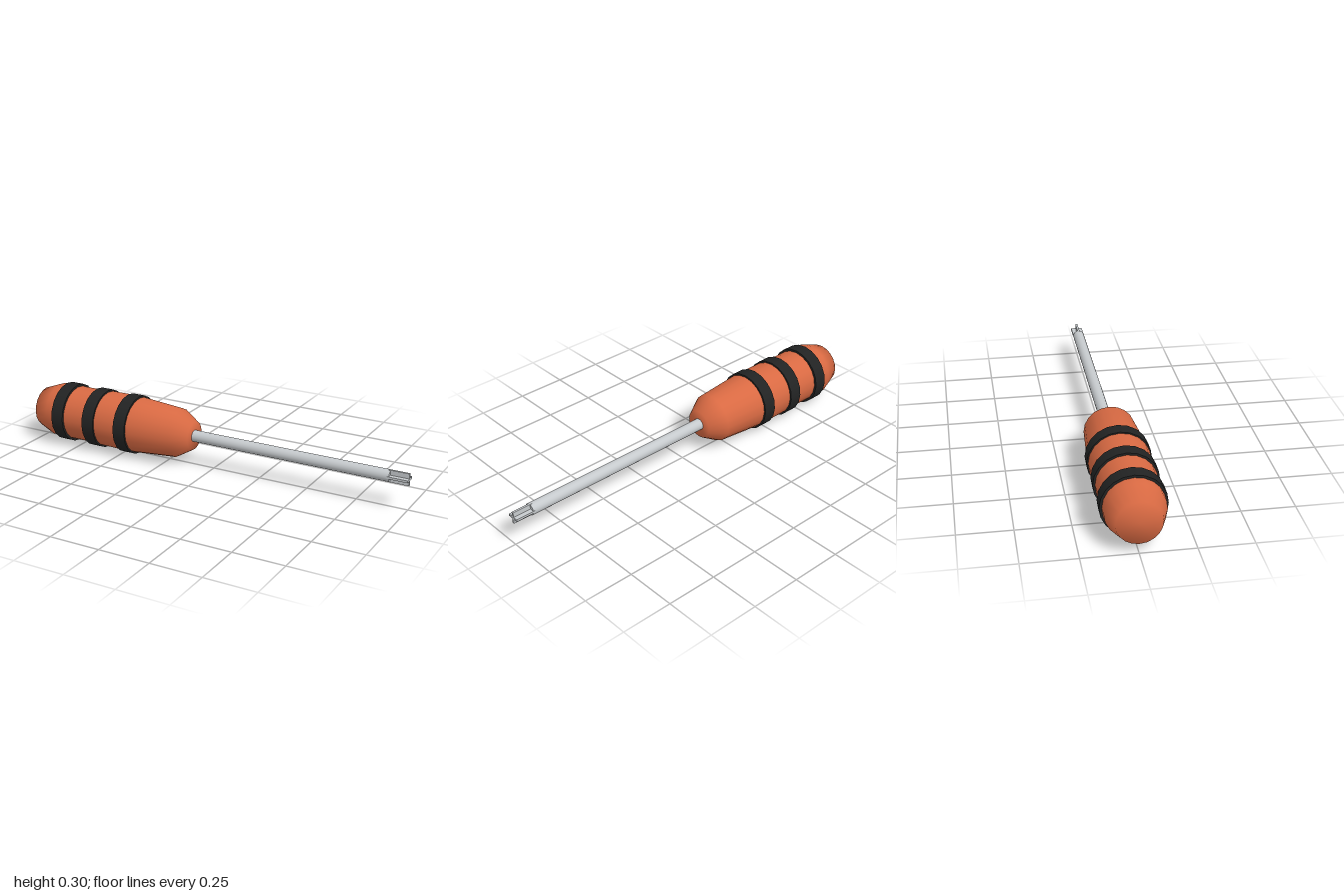
import * as THREE from 'three';

const AXIS_Y = 0.149; // height of the tool's long axis
const SIDES = 20;

export function createModel() {
  const model = new THREE.Group();
  model.name = 'screwdriver';

  const material = (name, color) => {
    const m = new THREE.MeshStandardMaterial({ color });
    m.name = name;
    return m;
  };
  const orange = material('handle orange', 0xd96a43);
  const black = material('grip black', 0x222323);
  const steel = material('steel grey', 0xc6cacd);

  const add = (name, geometry, mat, x = 0) => {
    const mesh = new THREE.Mesh(geometry, mat);
    mesh.name = name;
    mesh.position.set(x, AXIS_Y, 0);
    model.add(mesh);
    return mesh;
  };
  // Turns a shape made along y so that it runs along +x
  const alongX = (geometry) => geometry.rotateZ(-Math.PI / 2);

  // Handle: turned profile (radius, position along x)
  const profile = [
    [0, -1], [0.102, -1], [0.136, -0.91], [0.138, -0.83], [0.137, -0.74],
    [0.141, -0.6], [0.143, -0.46], [0.122, -0.195], [0.071, -0.11], [0, -0.11],
  ].map(([r, x]) => new THREE.Vector2(r, x));
  add('handle', alongX(new THREE.LatheGeometry(profile, SIDES)), orange);

  // Grip bands around the handle
  [-0.832, -0.646, -0.459].forEach((x, i) => {
    add(`gripBand${i + 1}`, alongX(new THREE.CylinderGeometry(0.149, 0.149, 0.067, SIDES)), black, x);
  });

  // Shaft, with its rear end set into the handle
  const start = -0.2, end = 0.91;
  add('shaft', alongX(new THREE.CylinderGeometry(0.029, 0.029, end - start, SIDES)), steel, (start + end) / 2);

  // Cross tip: two crossed blades
  const tipLength = 1 - end + 0.01;
  ['verticalBlade', 'horizontalBlade'].forEach((name, i) => {
    const blade = add(name, new THREE.BoxGeometry(tipLength, 0.059, 0.011), steel, 1 - tipLength / 2);
    blade.rotation.x = i * Math.PI / 2;
  });

  return model;
}
